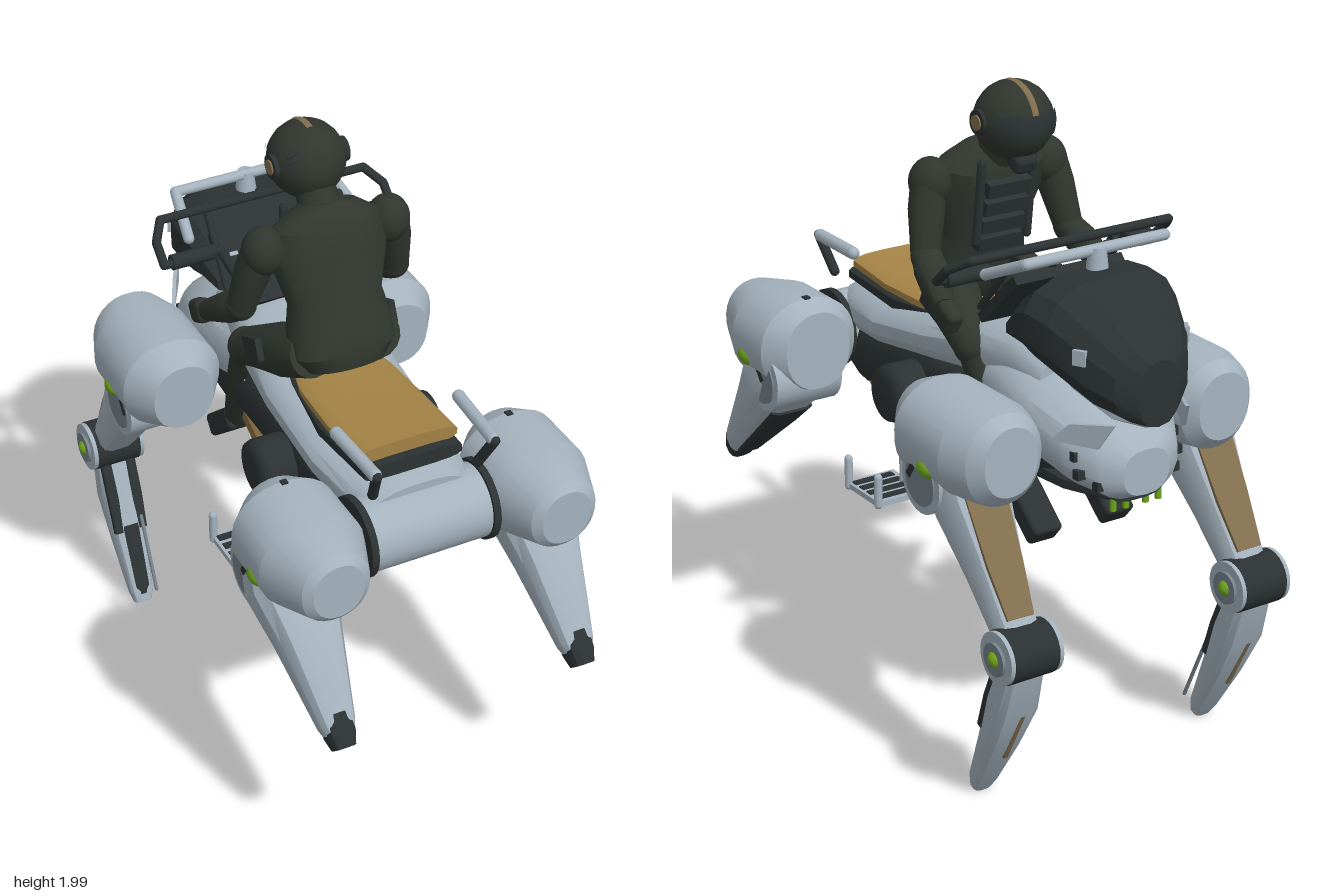
import * as THREE from 'three';
import { mergeGeometries, toCreasedNormals } from 'three/addons/utils/BufferGeometryUtils.js';
import { RoundedBoxGeometry } from 'three/addons/geometries/RoundedBoxGeometry.js';

const mat = (name, color) => new THREE.MeshStandardMaterial({ name, color });
const V = (x, y, z) => new THREE.Vector3(x, y, z);

// Closed skin over cross-sections [z, y, halfWidth, halfHeight], z ascending
function loft(sections, n = 16, power = 0.8, crease = 0.5) {
  const pos = [], idx = [], m = sections.length;
  const sp = (v) => Math.sign(v) * Math.abs(v) ** power;
  for (const [z, y, w, h] of sections) {
    for (let j = 0; j < n; j++) {
      const a = ((j + 0.5) / n) * Math.PI * 2;
      pos.push(w * sp(Math.cos(a)), y + h * sp(Math.sin(a)), z);
    }
  }
  for (let i = 0; i < m - 1; i++) {
    for (let j = 0; j < n; j++) {
      const k = (j + 1) % n, a = i * n + j, b = i * n + k;
      idx.push(a, b, b + n, a, b + n, a + n);
    }
  }
  [0, m - 1].forEach((i, end) => {
    const c = pos.length / 3;
    pos.push(0, sections[i][1], sections[i][0]);
    for (let j = 0; j < n; j++) {
      const a = i * n + j, b = i * n + ((j + 1) % n);
      idx.push(c, end ? a : b, end ? b : a);
    }
  });
  const g = new THREE.BufferGeometry();
  g.setAttribute('position', new THREE.Float32BufferAttribute(pos, 3));
  g.setIndex(idx);
  return toCreasedNormals(g, crease);
}

// Straight rods joined by round knuckles
function rodPath(points, r) {
  const parts = [];
  points.forEach((p, i) => {
    parts.push(new THREE.SphereGeometry(r, 10, 8).translate(p.x, p.y, p.z));
    if (!i) return;
    const d = p.clone().sub(points[i - 1]);
    const g = new THREE.CylinderGeometry(r, r, d.length(), 10);
    g.applyQuaternion(new THREE.Quaternion().setFromUnitVectors(V(0, 1, 0), d.clone().normalize()));
    const c = p.clone().add(points[i - 1]).multiplyScalar(0.5);
    parts.push(g.translate(c.x, c.y, c.z));
  });
  return mergeGeometries(parts);
}

export function createModel() {
  const root = new THREE.Group();
  root.name = 'walkerWithRider';
  const light = mat('paleArmour', 0xa5b3be), dark = mat('darkBody', 0x2c3233), suit = mat('riderSuit', 0x30362e);
  const tan = mat('seatTan', 0xa48346), dull = mat('dullTan', 0x83704f), brown = mat('bellyTan', 0x8a6e43);
  const green = mat('greenLamp', 0x70a81e), grey = mat('steelGrey', 0x77838c);

  const add = (name, geo, m, x = 0, y = 0, z = 0, rx = 0) => {
    const o = new THREE.Mesh(geo, m);
    o.name = name;
    o.position.set(x, y, z);
    o.rotation.x = rx;
    root.add(o);
    return o;
  };
  const box = (name, w, h, d, m, x, y, z, rx = 0) => add(name, new THREE.BoxGeometry(w, h, d), m, x, y, z, rx);
  const disc = (name, r, len, m, x, y, z, n = 24) => add(name, new THREE.CylinderGeometry(r, r, len, n).rotateZ(Math.PI / 2), m, x, y, z);
  const ball = (name, r, m, x, y, z) => add(name, new THREE.SphereGeometry(r, 20, 14), m, x, y, z);
  // Limb from a to b with profile [t, halfWidth, halfDepth, offset]; returns a frame for plates
  const limb = (name, a, b, profile, m, n = 12, power = 0.7) => {
    const len = a.distanceTo(b);
    const o = add(name, loft(profile.map(([t, w, h, y = 0]) => [t * len, y, w, h]), n, power), m, a.x, a.y, a.z);
    o.lookAt(b);
    return o;
  };
  const plate = (parent, name, geo, m) => {
    const o = new THREE.Mesh(geo, m);
    o.name = name;
    parent.add(o);
    return o;
  };

  // Hull
  add('hull', loft([[-0.72, 1.0, 0.1, 0.06], [-0.5, 1.0, 0.19, 0.11], [-0.25, 1.04, 0.2, 0.13], [0.1, 1.04, 0.2, 0.14],
    [0.32, 1.01, 0.195, 0.145], [0.45, 0.995, 0.19, 0.14], [0.54, 1.01, 0.175, 0.12], [0.62, 1.04, 0.14, 0.08]], 20), dark);
  add('belly', loft([[-0.42, 0.915, 0.08, 0.03], [-0.34, 0.9, 0.15, 0.05], [-0.1, 0.892, 0.19, 0.05], [0.2, 0.895, 0.19, 0.052],
    [0.36, 0.905, 0.175, 0.04], [0.44, 0.915, 0.155, 0.02]], 12, 0.6), brown);
  add('upperShell', loft([[-0.52, 1.2, 0.15, 0.08], [-0.38, 1.23, 0.17, 0.1], [-0.24, 1.225, 0.2, 0.105], [0.0, 1.18, 0.22, 0.09],
    [0.3, 1.13, 0.215, 0.085], [0.5, 1.12, 0.19, 0.09], [0.58, 1.12, 0.16, 0.07]], 20), light);
  add('nose', loft([[-0.84, 1.01, 0.08, 0.07], [-0.8, 1.02, 0.14, 0.1], [-0.7, 1.06, 0.2, 0.13], [-0.55, 1.1, 0.23, 0.13],
    [-0.36, 1.12, 0.21, 0.14], [-0.22, 1.13, 0.19, 0.12]], 18), light);
  add('noseUnderside', loft([[-0.8, 0.94, 0.09, 0.03], [-0.65, 0.94, 0.16, 0.04], [-0.35, 0.93, 0.17, 0.06]], 12), dark);

  // Rear crossbar
  disc('rearCrossbar', 0.115, 0.38, light, 0, 1.05, 0.56, 32);

  // Seat
  add('seatBase', loft([[0, 1.23, 0.15, 0.04], [0.25, 1.215, 0.17, 0.035], [0.53, 1.23, 0.16, 0.025]], 16, 0.5), dark);
  add('seatCushion', loft([[0.0, 1.26, 0.13, 0.02], [0.1, 1.25, 0.155, 0.03], [0.3, 1.255, 0.165, 0.025], [0.5, 1.272, 0.16, 0.027]], 16, 0.6), tan);

  // Front fairing with its pale chin plate
  add('fairing', loft([[-0.89, 1.265, 0.07, 0.1], [-0.85, 1.29, 0.13, 0.12], [-0.78, 1.33, 0.18, 0.145], [-0.66, 1.395, 0.23, 0.155],
    [-0.56, 1.41, 0.24, 0.14], [-0.48, 1.39, 0.22, 0.1], [-0.4, 1.345, 0.19, 0.045]], 14, 0.8, 0.3), dark);
  add('fairingChin', loft([[-0.875, 1.185, 0.04, 0.025], [-0.8, 1.195, 0.1, 0.03], [-0.66, 1.25, 0.14, 0.03], [-0.52, 1.285, 0.12, 0.02]], 10, 0.6), light);
  box('dashboard', 0.38, 0.03, 0.25, dark, 0, 1.42, -0.36, 0.75);
  for (let i = 0; i < 8; i++) {
    box('dashDisplay', 0.026, 0.006, 0.012, i % 2 ? grey : light, -0.14 + i * 0.04, 1.462, -0.38, 0.75);
    if (i < 4) box('dashLamp', 0.018, 0.008, 0.016, green, -0.155 + i * 0.04, 1.415, -0.325, 0.75);
    if (i < 5) box('dashGauge', 0.012, 0.006, 0.012, grey, 0.02 + i * 0.035, 1.413 + (i % 2) * 0.018, -0.33 - (i % 2) * 0.019, 0.75);
  }
  add('guardBar', rodPath([V(-0.27, 1.53, -0.42), V(-0.24, 1.6, -0.58), V(0.24, 1.6, -0.58), V(0.27, 1.53, -0.42)], 0.017), light);
  add('guardBarPost', new THREE.CylinderGeometry(0.025, 0.035, 0.08, 12), light, 0, 1.57, -0.585);
  add('handlebar', rodPath([V(-0.345, 1.595, -0.46), V(0.345, 1.595, -0.46)], 0.014), dark);

  for (const s of [-1, 1]) {
    // Nose details
    for (const [y, z] of [[1.06, -0.73], [1.01, -0.75], [0.98, -0.79]]) box('noseVent', 0.03, 0.028, 0.026, dark, s * (z < -0.78 ? 0.13 : 0.17), y, z);
    for (const x of [0.035, 0.08]) add('noseLamp', new THREE.CylinderGeometry(0.01, 0.01, 0.05, 8), green, s * x, 0.915, -0.79);
    const fin = new THREE.Shape([new THREE.Vector2(-0.06, -0.06), new THREE.Vector2(0.0, 0.0), new THREE.Vector2(0.14, 0.02), new THREE.Vector2(0.09, -0.06)]);
    add('noseFin', new THREE.ExtrudeGeometry(fin, { depth: 0.012, bevelEnabled: false }).rotateY(Math.PI / 2), light, s * 0.195, 1.17, -0.74)
      .rotation.y = s * 0.5;
    box('fairingBadge', 0.03, 0.045, 0.04, light, s * 0.178, 1.37, -0.76).rotation.y = s * 0.5;

    // Handlebar loops and grips
    add('handGuard', rodPath([V(s * 0.345, 1.595, -0.46), V(s * 0.385, 1.56, -0.4), V(s * 0.385, 1.51, -0.345), V(s * 0.2, 1.51, -0.35), V(s * 0.16, 1.42, -0.33)], 0.014), dark);
    disc('handGrip', 0.024, 0.14, dark, s * 0.29, 1.51, -0.35, 14);
    add('controlLever', rodPath([V(s * 0.19, 1.58, -0.46), V(s * 0.2, 1.38, -0.29)], 0.011), dark);

    // Rear grab rails and crossbar rings
    add('grabRailPost', rodPath([V(s * 0.17, 1.22, 0.6), V(s * 0.19, 1.33, 0.66)], 0.016), dark);
    add('grabRail', rodPath([V(s * 0.19, 1.33, 0.65), V(s * 0.2, 1.335, 0.43)], 0.02), light);
    disc('crossbarRing', 0.125, 0.022, dark, s * 0.2, 1.05, 0.56);

    // Side pod with hanging footrest
    add('sidePod', new THREE.LatheGeometry([[0.09, 0.14], [0.092, 0.28], [0.084, 0.302], [0.05, 0.31], [0, 0.312]].map(([r, y]) => new THREE.Vector2(r, y)), 24)
      .rotateZ(-s * Math.PI / 2), dark, 0, 1.0, 0.08);
    add('footrestPost', rodPath([V(s * 0.25, 0.92, 0.065), V(s * 0.25, 0.7, 0.065)], 0.014), light);
    box('footrestPlate', 0.17, 0.018, 0.19, light, s * 0.315, 0.698, 0.065);
    for (let i = 0; i < 4; i++) box('footrestSlot', 0.14, 0.006, 0.026, dark, s * 0.32, 0.708, i * 0.0435);
    for (const z of [-0.022, 0.152]) add('footrestUpright', rodPath([V(s * 0.395, 0.695, z), V(s * 0.395, 0.785, z)], 0.013), light);

    // Barrel hips with chamfered ends
    add('rearHip', loft([[0, 0, 0.112, 0.125], [0.065, 0, 0.168, 0.155], [0.25, 0, 0.168, 0.155], [0.4, 0.008, 0.108, 0.113],
      [0.42, 0.008, 0.08, 0.09]], 28, 0.92, 0.32), light, s * 0.37, 1.065, 0.365);
    add('frontHip', loft([[0, 0.005, 0.09, 0.105], [0.04, 0, 0.128, 0.14], [0.13, 0, 0.163, 0.15], [0.36, 0, 0.163, 0.15],
      [0.455, 0, 0.1, 0.11]], 28, 0.92, 0.32), light, s * 0.375, 1.075, -0.712);
    for (const [z, y, w, r] of [[0.555, 1.025, 0.47, 0.045], [-0.49, 1.02, -0.455, 0.042]]) {
      disc('hipJoint', 0.1, 0.23, light, s * 0.4, 0.965, w);
      disc('hipJointRing', 0.075, 0.24, grey, s * 0.4, 0.965, w);
      ball('hipLamp', r, green, s * 0.504, y, z).scale.set(0.9, 0.85, 1.08);
      box('hipJointSlot', 0.02, 0.05, 0.022, dark, s * 0.512, 0.985, z - 0.08 * Math.sign(z), 0.6 * Math.sign(z));
    }
    box('hipSocket', 0.02, 0.012, 0.02, dark, s * 0.37, 1.218, 0.435);

    // Rear leg
    const rear = limb('rearLeg', V(s * 0.4, 0.99, 0.48), V(s * 0.4, 0.6, 0.845),
      [[0, 0.12, 0.1], [0.15, 0.135, 0.11], [0.45, 0.1, 0.09], [0.95, 0.055, 0.05], [1, 0.045, 0.042]], light);
    plate(rear, 'rearLegUnderside', loft([[0.12, -0.09, 0.075, 0.022], [0.24, -0.078, 0.065, 0.02], [0.5, -0.043, 0.042, 0.014]], 8, 0.5), dark);
    limb('rearFoot', V(s * 0.4, 0.645, 0.805), V(s * 0.4, 0.568, 0.875), [[0, 0.046, 0.054], [0.6, 0.046, 0.05], [1, 0.035, 0.038]], dark);

    // Front upper leg with tan panel
    const upper = limb('frontThigh', V(s * 0.4, 1.02, -0.47), V(s * 0.41, 0.56, -0.81),
      [[0, 0.1, 0.09], [0.25, 0.105, 0.095], [0.6, 0.08, 0.07], [1, 0.06, 0.05]], light, 12, 0.6);
    plate(upper, 'thighPanel', loft([[0.12, 0.085, 0.07, 0.012], [0.34, 0.064, 0.06, 0.012], [0.5, 0.052, 0.045, 0.01]], 8, 0.4), dull);

    // Knee
    disc('kneeDrum', 0.082, 0.15, dark, s * 0.41, 0.55, -0.82);
    for (const t of [-1, 1]) {
      disc('kneePlate', 0.08, 0.018, light, s * 0.41 + t * 0.08, 0.55, -0.82);
      disc('kneeHub', 0.05, 0.018, grey, s * 0.41 + t * 0.09, 0.55, -0.82);
      ball('kneeLamp', 0.028, green, s * 0.41 + t * 0.085, 0.55, -0.82);
    }

    // Front lower leg with dark rear rails and foot plate
    const shin = limb('frontShin', V(s * 0.41, 0.53, -0.825), V(s * 0.41, 0.015, -0.605),
      [[0, 0.06, 0.05], [0.3, 0.068, 0.062, -0.015], [0.6, 0.055, 0.05, -0.012], [0.93, 0.04, 0.032], [1, 0.03, 0.022]], light, 12, 0.6);
    for (const t of [-1, 1]) {
      plate(shin, 'shinRail', loft([[0.04, 0.038, 0.018, 0.013], [0.18, 0.037, 0.018, 0.013], [0.3, 0.028, 0.015, 0.012]], 8, 0.4), dark).position.x = t * 0.042;
    }
    plate(shin, 'shinFootPlate', loft([[0.28, 0.032, 0.028, 0.012], [0.5, 0.026, 0.024, 0.01], [0.53, 0.024, 0.014, 0.006]], 8, 0.5), dark);
    const stripe = plate(shin, 'shinStripe', new THREE.BoxGeometry(0.014, 0.008, 0.2), dull);
    stripe.position.set(0, -0.066, 0.27);
    stripe.rotation.x = -0.07;
    add('shinRod', rodPath([V(s * 0.37, 0.31, -0.68), V(s * 0.37, 0.07, -0.575)], 0.006), grey);

    // Rider limbs
    ball('riderShoulder', 0.066, suit, s * 0.205, 1.69, -0.03).scale.y = 1.15;
    const arm = [[0, 0.05, 0.055], [0.4, 0.056, 0.056], [1, 0.045, 0.045]];
    limb('riderUpperArm', V(s * 0.215, 1.7, -0.03), V(s * 0.255, 1.49, -0.08), arm, suit, 14, 1);
    ball('riderElbow', 0.048, suit, s * 0.255, 1.485, -0.085);
    limb('riderForearm', V(s * 0.255, 1.485, -0.085), V(s * 0.295, 1.385, -0.24), [[0, 0.045, 0.045], [0.3, 0.052, 0.05], [1, 0.033, 0.033]], suit, 14, 1);
    add('riderGlove', new RoundedBoxGeometry(0.055, 0.075, 0.085, 3, 0.02), suit, s * 0.3, 1.365, -0.275, -0.5);
    limb('riderThigh', V(s * 0.1, 1.37, 0.08), V(s * 0.175, 1.235, -0.21), [[0, 0.085, 0.08], [0.4, 0.085, 0.085], [1, 0.062, 0.06]], suit, 16, 1);
    box('thighPouch', 0.02, 0.07, 0.1, dark, s * 0.225, 1.33, -0.07, -0.42);
    ball('riderKnee', 0.063, suit, s * 0.175, 1.232, -0.215);
    limb('riderShin', V(s * 0.17, 1.22, -0.22), V(s * 0.13, 0.83, -0.4), [[0, 0.055, 0.055], [0.3, 0.055, 0.055], [1, 0.045, 0.045]], suit, 14, 1);
    add('riderBoot', new RoundedBoxGeometry(0.1, 0.075, 0.2, 3, 0.015), dark, s * 0.13, 0.785, -0.455, -0.7);
    disc('helmetEarRing', 0.038, 0.02, dark, s * 0.112, 1.885, -0.15);
    disc('helmetEarCap', 0.023, 0.026, dull, s * 0.114, 1.885, -0.15);
    add('chestStrap', rodPath([V(s * 0.09, 1.75, -0.13), V(s * 0.09, 1.5, -0.1)], 0.014), dark);
  }

  // Rider torso and head
  limb('riderTorso', V(0, 1.31, 0.085), V(0, 1.79, -0.06),
    [[0, 0.13, 0.09], [0.1, 0.168, 0.11], [0.25, 0.165, 0.105], [0.42, 0.148, 0.092], [0.7, 0.185, 0.102], [0.88, 0.175, 0.09], [0.97, 0.11, 0.065], [1, 0.06, 0.05]], suit, 24, 0.9);
  for (let i = 0; i < 4; i++) box('chestPouch', 0.15, 0.045, 0.05, dark, 0, 1.49 + i * 0.06, -0.07 - i * 0.018, -0.28);
  limb('riderNeck', V(0, 1.74, -0.06), V(0, 1.84, -0.12), [[0, 0.065, 0.065], [1, 0.06, 0.06]], suit, 14, 1);
  ball('helmet', 0.118, suit, 0, 1.88, -0.16).scale.z = 1.04;
  add('helmetStripe', new THREE.TorusGeometry(0.1145, 0.006, 6, 32, 1.6).rotateY(Math.PI / 2).scale(2, 1, 1.04), dull, 0, 1.88, -0.16, 0.2);
  add('visor', new THREE.SphereGeometry(0.12, 20, 10, Math.PI * 0.15, Math.PI * 0.7, 1.25, 0.6).rotateY(Math.PI), dark, 0, 1.88, -0.168);
  add('breather', new RoundedBoxGeometry(0.075, 0.06, 0.07, 3, 0.02), dark, 0, 1.765, -0.205, -0.4);
  for (const y of [1.93, 1.95]) add('helmetAntenna', rodPath([V(-0.06, y, -0.09), V(-0.1, y, -0.075)], 0.005), dark);
  return root;
}
